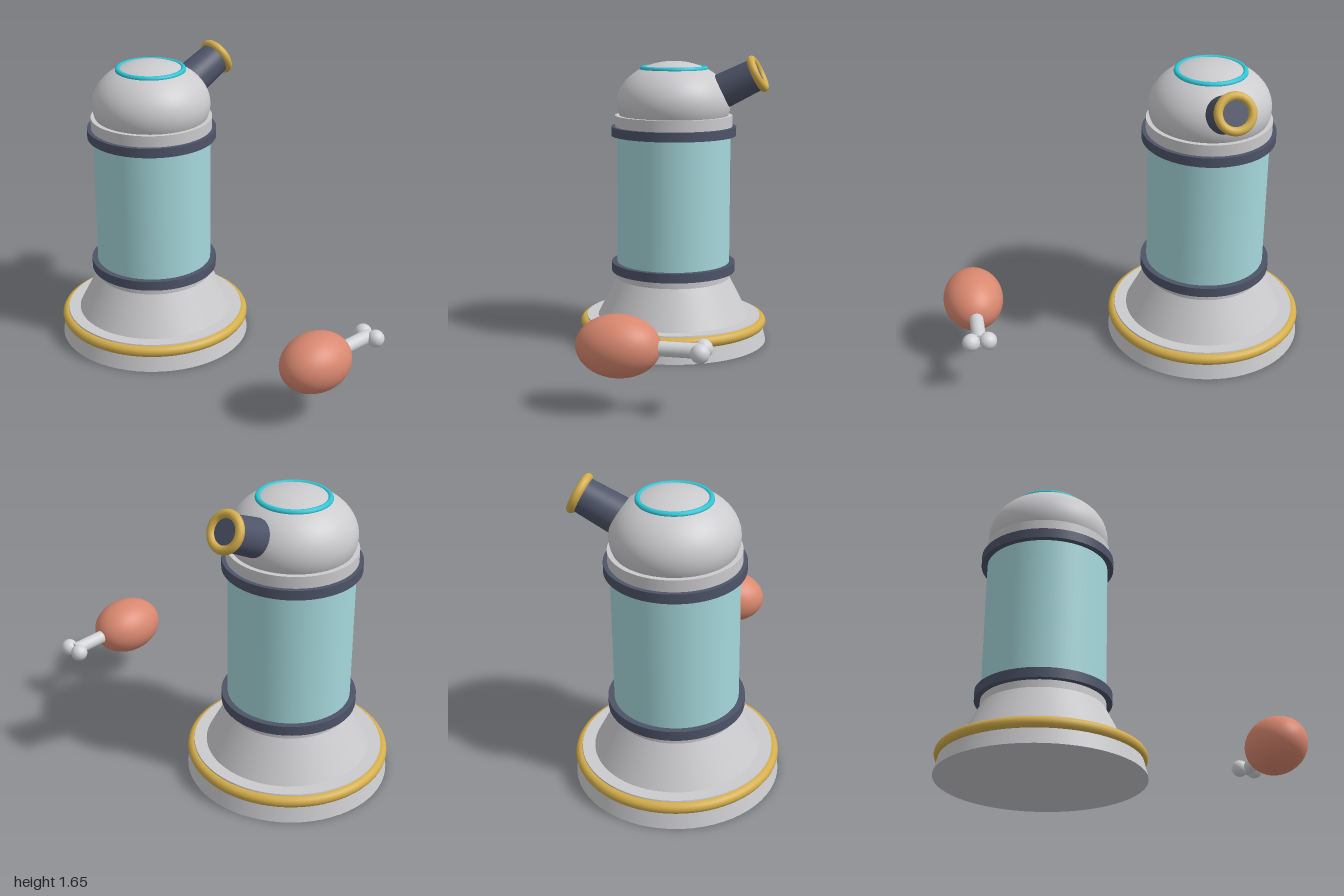
import * as THREE from 'three';

const mat = (name, color) => {
  const m = new THREE.MeshStandardMaterial({ color });
  m.name = name;
  return m;
};

export function createModel() {
  const shell = mat('pale grey shell', 0xcbcbce);
  const dark = mat('dark slate', 0x4d5468);
  const gold = mat('gold trim', 0xd4ae4c);
  const glass = mat('pale teal glass', 0xa6d8dc);
  const cyan = mat('cyan light', 0x30c4d4);
  const meatRed = mat('roast meat', 0xd98870);
  const boneWhite = mat('bone', 0xd2d3d6);

  const model = new THREE.Group();
  model.name = 'foodMachine';

  const add = (parent, name, geometry, material, x = 0, y = 0, z = 0) => {
    const mesh = new THREE.Mesh(geometry, material);
    mesh.name = name;
    mesh.position.set(x, y, z);
    parent.add(mesh);
    return mesh;
  };
  // Round section between two heights
  const drum = (parent, name, material, y0, y1, rBottom, rTop = rBottom) =>
    add(parent, name, new THREE.CylinderGeometry(rTop, rBottom, y1 - y0, 64), material, 0, (y0 + y1) / 2);

  const machine = new THREE.Group();
  machine.name = 'machine';
  machine.position.z = -0.46;
  model.add(machine);

  // Foot with gold trim, flared skirt and neck
  drum(machine, 'foot', shell, 0, 0.15, 0.54, 0.503);
  const trim = add(machine, 'footTrim', new THREE.TorusGeometry(0.508, 0.031, 16, 80), gold, 0, 0.112);
  trim.rotation.x = Math.PI / 2;
  drum(machine, 'skirt', shell, 0.15, 0.37, 0.437, 0.325);
  drum(machine, 'neck', shell, 0.37, 0.42, 0.325);

  // Glass tank between two dark bands
  drum(machine, 'lowerBand', dark, 0.41, 0.463, 0.356);
  drum(machine, 'tank', glass, 0.44, 1.22, 0.324);
  drum(machine, 'upperBand', dark, 1.195, 1.247, 0.356);
  drum(machine, 'collar', shell, 1.247, 1.31, 0.334);

  // Flattened dome with its light ring
  const dome = add(machine, 'dome',
    new THREE.SphereGeometry(0.324, 64, 32, 0, Math.PI * 2, 0, Math.PI * 0.62), shell, 0, 1.38);
  dome.scale.y = 0.235 / 0.324;
  const light = add(machine, 'lightRing', new THREE.TorusGeometry(0.178, 0.015, 12, 64), cyan, 0, 1.573);
  light.rotation.x = Math.PI / 2;

  // Tilted spout; its local y axis runs outward
  const spout = new THREE.Group();
  spout.name = 'spout';
  spout.position.set(0.478, 1.55, 0);
  spout.rotation.z = -THREE.MathUtils.degToRad(63.5);
  machine.add(spout);
  drum(spout, 'spoutTube', dark, -0.32, 0.005, 0.102, 0.09);
  const lip = add(spout, 'spoutLip', new THREE.TorusGeometry(0.086, 0.023, 16, 48), gold);
  lip.rotation.x = Math.PI / 2;

  // Meat on the bone, in front of the machine
  const snack = new THREE.Group();
  snack.name = 'meatOnBone';
  snack.position.set(0, 0.326, 0.838);
  model.add(snack);
  const meat = add(snack, 'meat', new THREE.SphereGeometry(1, 48, 32), meatRed);
  meat.scale.set(0.21, 0.154, 0.162);
  const bone = add(snack, 'bone', new THREE.CylinderGeometry(0.037, 0.037, 0.3, 24), boneWhite, 0.255);
  bone.rotation.z = Math.PI / 2;
  for (const side of [-1, 1]) {
    add(snack, 'boneKnob', new THREE.SphereGeometry(0.047, 24, 16), boneWhite, 0.408, 0, side * 0.044);
  }

  return model;
}
